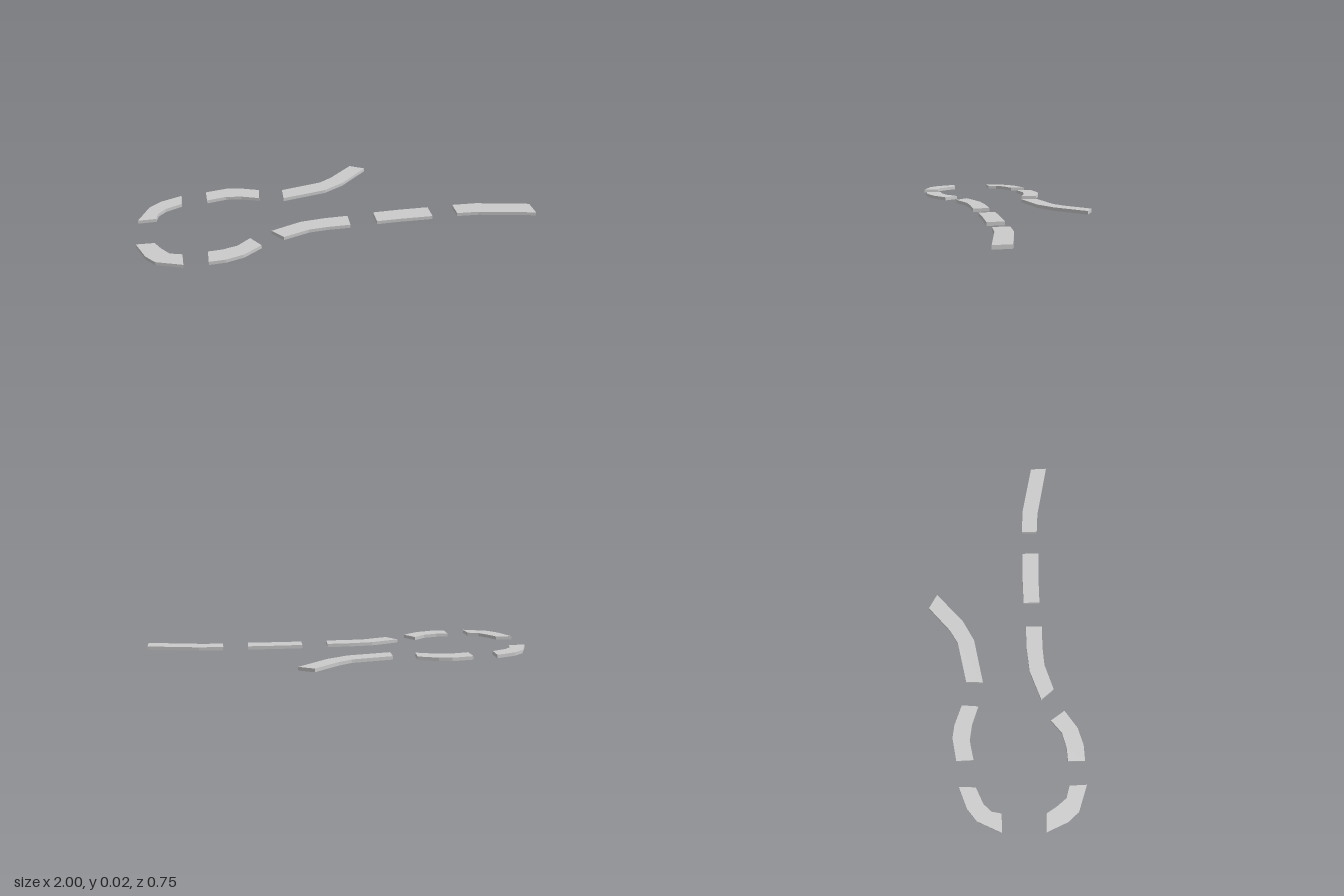
import * as THREE from 'three';

const HEIGHT = 0.018;

// Each dash of the looping path: its two long edges as [x, z] points, listed in the same direction.
const DASHES = [
  { name: 'backDashEnd',
    a: [[-0.24, -0.11], [-0.01, -0.145], [0.1, -0.2], [0.257, -0.33]],
    b: [[-0.235, -0.195], [-0.02, -0.23], [0.05, -0.268], [0.183, -0.375]] },
  { name: 'backDashMiddle',
    a: [[-0.635, -0.175], [-0.535, -0.19], [-0.455, -0.175], [-0.365, -0.14]],
    b: [[-0.635, -0.26], [-0.52, -0.275], [-0.455, -0.263], [-0.355, -0.222]] },
  { name: 'backBend',
    a: [[-0.9, -0.052], [-0.888, -0.1], [-0.85, -0.137], [-0.768, -0.17]],
    b: [[-0.99, -0.055], [-0.93, -0.172], [-0.87, -0.216], [-0.763, -0.252]] },
  { name: 'frontBend',
    a: [[-1, 0.155], [-0.957, 0.265], [-0.913, 0.32], [-0.786, 0.37]],
    b: [[-0.912, 0.162], [-0.882, 0.215], [-0.845, 0.265], [-0.786, 0.285]] },
  { name: 'frontDashCurved',
    a: [[-0.67, 0.372], [-0.59, 0.372], [-0.503, 0.35], [-0.412, 0.292]],
    b: [[-0.667, 0.288], [-0.6, 0.287], [-0.524, 0.27], [-0.458, 0.22]] },
  { name: 'frontDashLong',
    a: [[-0.296, 0.247], [-0.166, 0.21], [-0.075, 0.207], [0.045, 0.212]],
    b: [[-0.347, 0.18], [-0.195, 0.132], [-0.07, 0.125], [0.05, 0.129]] },
  { name: 'frontDashStraight',
    a: [[0.183, 0.21], [0.3, 0.214], [0.471, 0.225]],
    b: [[0.185, 0.126], [0.325, 0.13], [0.473, 0.139]] },
  { name: 'frontDashEnd',
    a: [[0.603, 0.226], [0.715, 0.238], [1, 0.307]],
    b: [[0.605, 0.145], [0.73, 0.156], [1, 0.222]] },
];

// Flat slab standing on the ground, outlined by its two long edges.
function makeDash({ name, a, b }, material) {
  const outline = [...a, ...[...b].reverse()].map(([x, z]) => new THREE.Vector2(x, -z));
  const geometry = new THREE.ExtrudeGeometry(new THREE.Shape(outline), {
    depth: HEIGHT,
    bevelEnabled: false,
  });
  geometry.rotateX(-Math.PI / 2);
  const mesh = new THREE.Mesh(geometry, material);
  mesh.name = name;
  return mesh;
}

export function createModel() {
  const group = new THREE.Group();
  group.name = 'dashedPath';
  const material = new THREE.MeshStandardMaterial({ color: 0xcccccc, flatShading: true });
  for (const dash of DASHES) group.add(makeDash(dash, material));
  return group;
}
